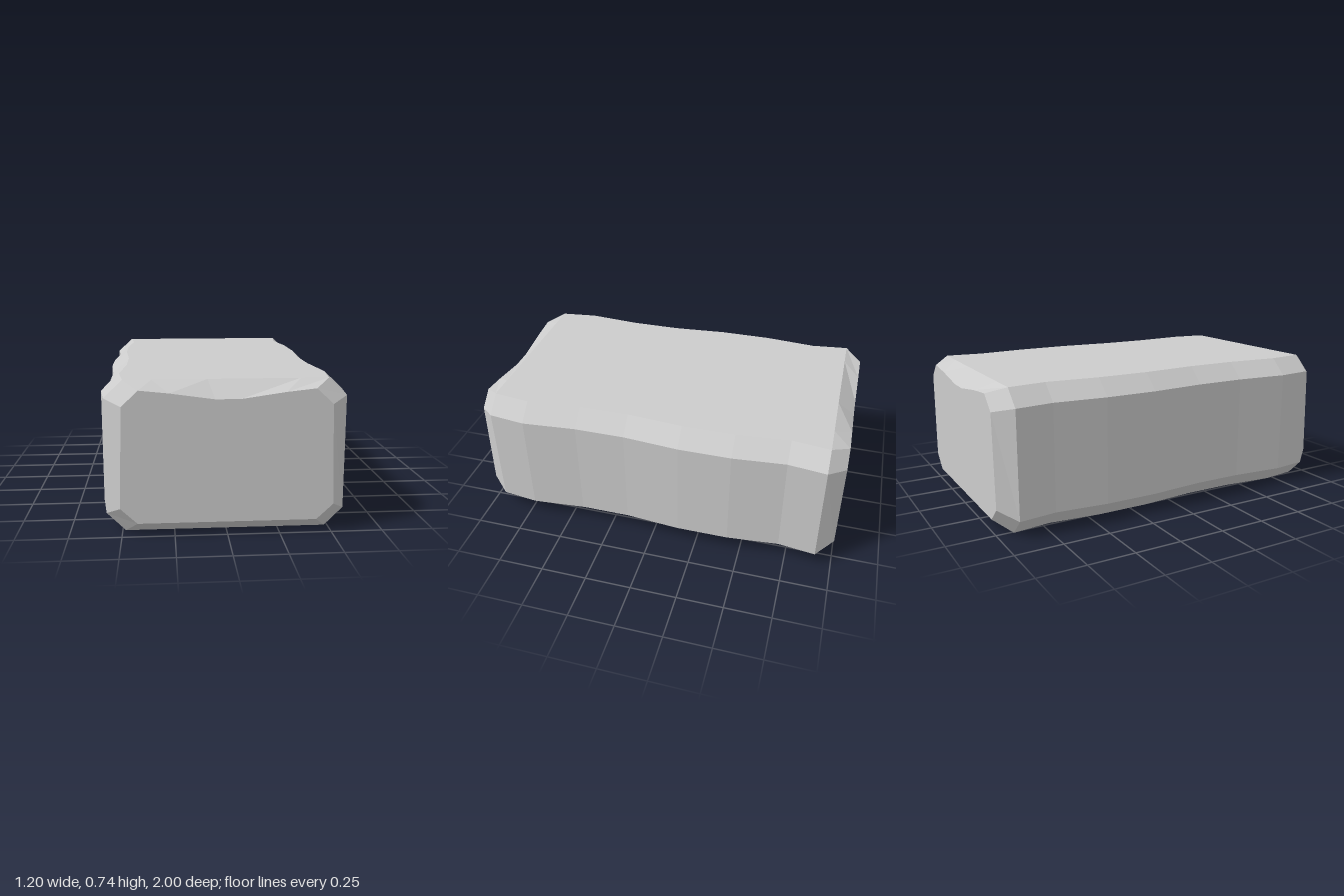
import * as THREE from 'three';

// Right half of a cross-section (bottom to top), mirrored into a closed counter-clockwise loop
function mirrorLoop(half, z) {
  const left = half.map(([x, y]) => [-x, y]).reverse();
  return [...half, ...left].map(([x, y]) => [x, y, z]);
}

// Chamfered body section for a given half width
function bodySection(w, z) {
  return mirrorLoop([
    [w - 0.09, 0], [w, 0.09], [w, 0.65], [w - 0.09, 0.735], [0.35, 0.735], [0.09, 0.735],
  ], z);
}

// Smaller end face with a worn dip in its top edge
function endSection(widen, z) {
  return mirrorLoop([
    [0.425 + widen, 0.065], [0.505 + widen, 0.14], [0.49 + widen, 0.625],
    [0.41 + widen, 0.7], [0.27, 0.685], [0.06, 0.655],
  ], z);
}

export function createModel() {
  // Wavy sides: z position and half width, back to front
  const stations = [
    [-0.91, 0.6], [-0.71, 0.575], [-0.43, 0.6], [-0.15, 0.6],
    [0.15, 0.575], [0.42, 0.575], [0.71, 0.6], [0.91, 0.575],
  ];
  const rings = [
    endSection(0.02, -1),
    ...stations.map(([z, w]) => bodySection(w, z)),
    endSection(0, 1),
  ];

  const positions = [];
  const tri = (a, b, c) => positions.push(...a, ...b, ...c);
  const n = rings[0].length;

  // Skin between neighbouring sections
  for (let i = 0; i < rings.length - 1; i++) {
    for (let j = 0; j < n; j++) {
      const k = (j + 1) % n;
      tri(rings[i][j], rings[i][k], rings[i + 1][k]);
      tri(rings[i][j], rings[i + 1][k], rings[i + 1][j]);
    }
  }

  // Flat end faces
  const back = rings[0];
  const front = rings[rings.length - 1];
  for (let j = 0; j < n; j++) {
    const k = (j + 1) % n;
    tri([0, 0.35, -1], back[k], back[j]);
    tri([0, 0.35, 1], front[j], front[k]);
  }

  const geometry = new THREE.BufferGeometry();
  geometry.setAttribute('position', new THREE.Float32BufferAttribute(positions, 3));
  geometry.computeVertexNormals();

  const block = new THREE.Mesh(
    geometry,
    new THREE.MeshStandardMaterial({ color: 0xcccccc, flatShading: true })
  );
  block.name = 'stoneBlock';

  const group = new THREE.Group();
  group.name = 'brick';
  group.add(block);
  return group;
}
